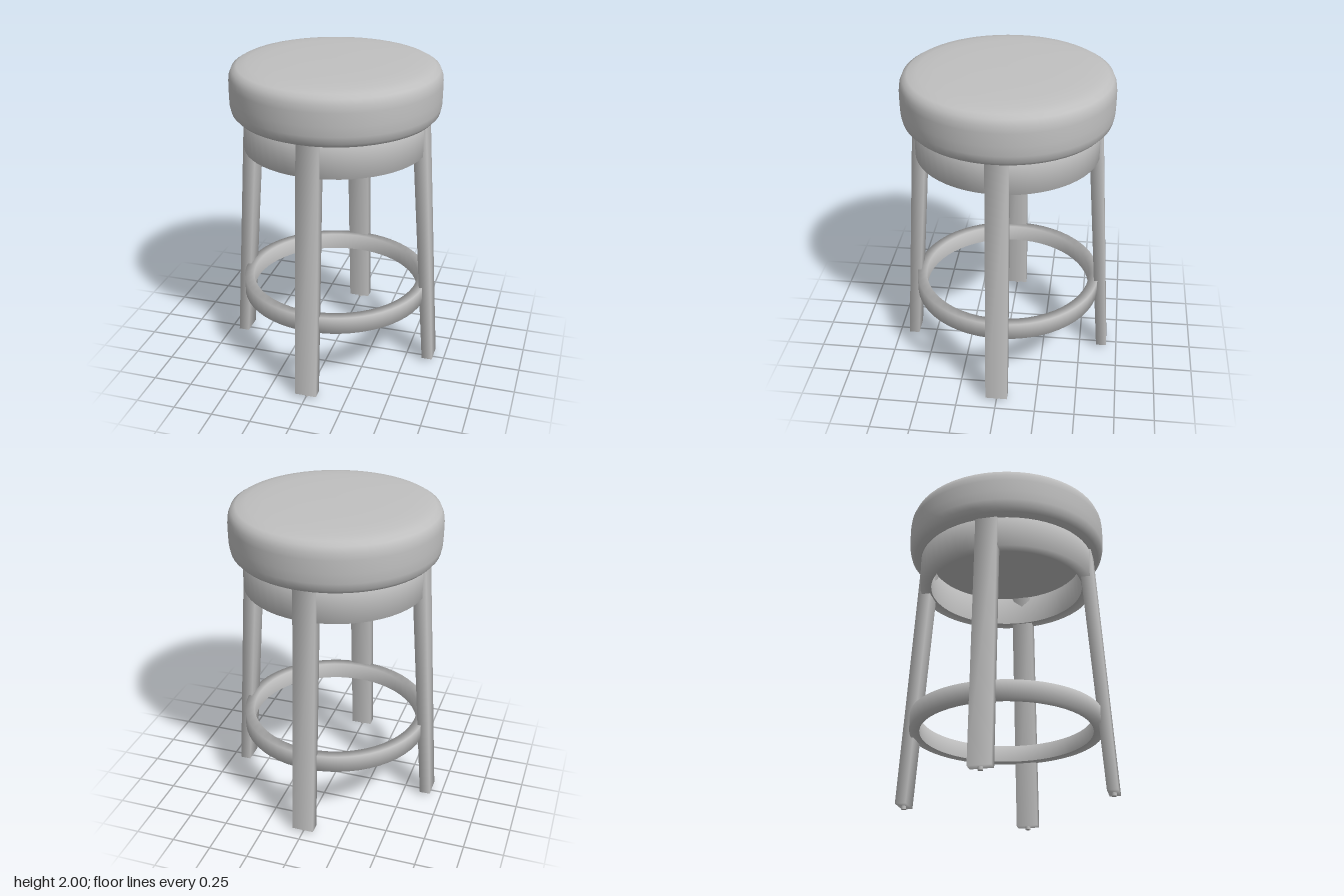
import * as THREE from 'three';
import { mergeVertices } from 'three/addons/utils/BufferGeometryUtils.js';

const SEGMENTS = 56;
const gray = new THREE.MeshStandardMaterial({ color: 0xc0c0c0 });
gray.name = 'plain gray';

function addMesh(parent, name, geometry) {
  const mesh = new THREE.Mesh(geometry, gray);
  mesh.name = name;
  parent.add(mesh);
  return mesh;
}

function lathe(points) {
  return new THREE.LatheGeometry(points.map(([r, y]) => new THREE.Vector2(r, y)), SEGMENTS);
}

// Hoop with a rectangular section and softly shaded edges
function hoop(inner, outer, bottom, top) {
  return lathe([[inner, bottom], [outer, bottom], [outer, top], [inner, top], [inner, bottom]]);
}

// Splayed, slightly tapered leg standing on the +z side
function legGeometry() {
  const bottom = 0.02, top = 1.655;
  const box = new THREE.BoxGeometry(0.138, 1, 1);
  box.deleteAttribute('normal');
  box.deleteAttribute('uv');
  const geometry = mergeVertices(box);
  const p = geometry.attributes.position;
  for (let i = 0; i < p.count; i++) {
    const high = p.getY(i) > 0, outside = p.getZ(i) > 0;
    p.setY(i, high ? top : bottom);
    p.setZ(i, outside ? (high ? 0.58 : 0.682) : (high ? 0.495 : 0.614));
  }
  geometry.computeVertexNormals();
  return geometry;
}

export function createModel() {
  const stool = new THREE.Group();
  stool.name = 'stool';

  // Padded round seat with a flat underside
  addMesh(stool, 'seatCushion', lathe([
    [0.58, 1.655], [0.615, 1.67], [0.638, 1.695], [0.648, 1.74], [0.65, 1.8],
    [0.65, 1.88], [0.645, 1.92], [0.63, 1.955], [0.6, 1.973], [0.54, 1.985],
    [0.44, 1.993], [0.25, 1.999], [0, 2],
  ]));
  const underside = addMesh(stool, 'seatUnderside', new THREE.CircleGeometry(0.58, SEGMENTS));
  underside.rotation.x = Math.PI / 2;
  underside.position.y = 1.655;

  // Apron below the seat and the foot ring
  addMesh(stool, 'apron', hoop(0.5, 0.572, 1.455, 1.655));
  addMesh(stool, 'footRing', hoop(0.54, 0.602, 0.44, 0.55));

  // Four legs, each with a small glide pin
  const leg = legGeometry();
  const pin = new THREE.CylinderGeometry(0.016, 0.016, 0.03, 12);
  ['front', 'left', 'back', 'right'].forEach((side, i) => {
    const group = new THREE.Group();
    group.name = side + 'Leg';
    group.rotation.y = i * Math.PI / 2;
    addMesh(group, side + 'LegPost', leg);
    addMesh(group, side + 'Glide', pin).position.set(0, 0.015, 0.648);
    stool.add(group);
  });

  return stool;
}
